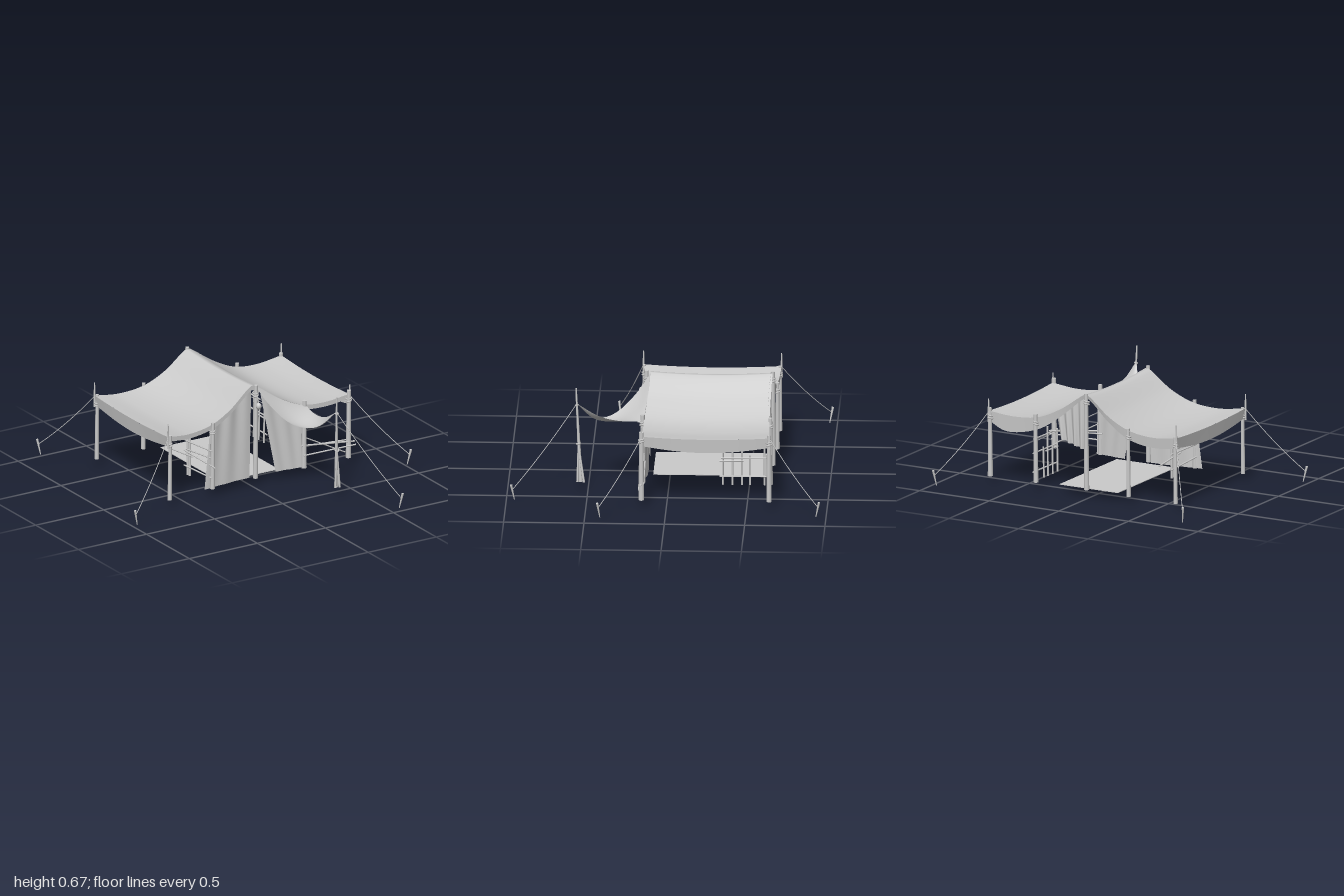
import * as THREE from 'three';
import { ParametricGeometry } from 'three/addons/geometries/ParametricGeometry.js';

const V = (x, y, z) => new THREE.Vector3(x, y, z);
const lerp = THREE.MathUtils.lerp;
const cloth = new THREE.MeshStandardMaterial({ color: 0xcccccc, side: THREE.DoubleSide });
const wood = new THREE.MeshStandardMaterial({ color: 0xcccccc });

// Piecewise smooth lookup through a short list of [x, value] points
function profile(points) {
  return (x) => {
    let i = 0;
    while (i < points.length - 2 && x > points[i + 1][0]) i++;
    const slope = (k) => {
      const a = points[Math.max(k - 1, 0)], b = points[Math.min(k + 1, points.length - 1)];
      return (b[1] - a[1]) / (b[0] - a[0]);
    };
    const [x0, y0] = points[i], [x1, y1] = points[i + 1];
    const w = x1 - x0, t = (x - x0) / w, t2 = t * t, t3 = t2 * t;
    return (2 * t3 - 3 * t2 + 1) * y0 + (t3 - 2 * t2 + t) * w * slope(i)
      + (3 * t2 - 2 * t3) * y1 + (t3 - t2) * w * slope(i + 1);
  };
}

// Roof shape: height across the tent, and its front and back edges in plan
const LEFT = 0.71, RIGHT = -0.65;
const height = profile([[-0.65, 0.475], [-0.48, 0.455], [-0.3, 0.475], [-0.15, 0.543],
  [-0.01, 0.652], [0.02, 0.662], [0.05, 0.647], [0.2, 0.545], [0.36, 0.472], [0.53, 0.455], [0.71, 0.472]]);
const frontZ = profile([[-0.65, 0.195], [-0.3, 0.155], [0.02, 0.125], [0.38, 0.15], [0.71, 0.15]]);
const backZ = profile([[-0.65, -0.665], [0.02, -0.635], [0.4, -0.63], [0.71, -0.645]]);

function roofPoint(x, v) {
  const sag = 4 * v * (1 - v);
  return V(x, height(x) - 0.015 * sag, lerp(frontZ(x), backZ(x), v));
}

export function createModel() {
  const group = new THREE.Group();

  const add = (name, geometry, material) => {
    const mesh = new THREE.Mesh(geometry, material);
    mesh.name = name;
    group.add(mesh);
    return mesh;
  };
  const sheet = (name, fn, nu, nv) =>
    add(name, new ParametricGeometry((u, v, t) => t.copy(fn(u, v)), nu, nv), cloth);
  const stick = (name, a, b, r0, r1 = r0) => {
    const dir = b.clone().sub(a);
    const mesh = add(name, new THREE.CylinderGeometry(r1, r0, dir.length(), 8), wood);
    mesh.position.copy(a).add(b).multiplyScalar(0.5);
    mesh.quaternion.setFromUnitVectors(V(0, 1, 0), dir.normalize());
    return mesh;
  };
  const knot = (x, y, z, r) => {
    const ring = add('lashing', new THREE.TorusGeometry(r, 0.005, 5, 10), wood);
    ring.position.set(x, y, z);
    ring.rotation.set(Math.PI / 2 + 0.25, 0.15, 0);
  };

  // Roof cloth
  sheet('roof', (u, v) => roofPoint(lerp(RIGHT, LEFT, u), v), 56, 14);

  // Hanging borders on the sides, front and back
  for (const [name, x, lean] of [['leftValance', LEFT, -0.008], ['rightValance', RIGHT, 0.008]]) {
    sheet(name, (u, v) => {
      const p = roofPoint(x, u);
      p.y -= v * (0.065 + 0.025 * Math.sin(Math.PI * u));
      p.x += lean * v;
      return p;
    }, 16, 3);
  }
  const backDrop = profile([[-0.65, 0.07], [-0.3, 0.06], [0.02, 0.025], [0.38, 0.08], [0.6, 0.105], [0.71, 0.065]]);
  sheet('backValance', (u, v) => {
    const p = roofPoint(lerp(RIGHT, LEFT, u), 1);
    p.y -= v * backDrop(p.x);
    p.z += 0.006 * v;
    return p;
  }, 56, 3);
  sheet('frontValance', (u, v) => {
    const p = roofPoint(lerp(RIGHT, LEFT, u), 0);
    p.y -= 0.03 * v;
    return p;
  }, 56, 2);

  // Awning pulled forward to a single pole, hanging slack between its edges
  const tip = V(0.352, 0.56, 0.57);
  const outer = new THREE.CatmullRomCurve3([V(0.035, 0.65, 0.128), V(0.1, 0.51, 0.23), V(0.18, 0.425, 0.35), V(0.27, 0.44, 0.465), tip]);
  const inner = new THREE.CatmullRomCurve3([V(0.39, 0.466, 0.15), V(0.37, 0.45, 0.27), V(0.357, 0.475, 0.42), tip]);
  sheet('awning', (u, v) => {
    const p = outer.getPoint(u).lerp(inner.getPoint(u), v);
    const edge = roofPoint(lerp(0.035, 0.39, v), 0);
    p.lerp(edge, Math.pow(1 - u, 4));
    p.y -= 0.1 * v * (1 - v) * Math.sin(Math.PI * u);
    return p;
  }, 20, 12);

  // Front walls either side of the doorway: top and bottom spans in x
  for (const [name, t0, t1, b0, b1] of [['frontWall', -0.31, 0.01, -0.36, -0.01], ['doorFlap', 0.07, 0.38, 0.18, 0.395]]) {
    sheet(name, (u, v) => {
      const top = lerp(t0, t1, u);
      const p = roofPoint(top, 0);
      p.x = lerp(top, lerp(b0, b1, u), v);
      p.y = lerp(p.y - 0.01, 0.055, v);
      p.z += -0.008 + 0.012 * v + 0.005 * Math.sin(u * 16) * (1 - v * 0.6);
      return p;
    }, 24, 8);
  }

  // Gathered curtain at the back gable
  sheet('backCurtain', (u, v) => {
    const p = roofPoint(lerp(0.02, 0.24, u), 1);
    p.y = lerp(p.y, 0.3 + 0.05 * u, v);
    p.z += 0.012 + 0.012 * Math.sin(u * 26) * (0.4 + 0.6 * v);
    p.x -= 0.03 * u * v;
    return p;
  }, 36, 6);

  // Ground cloth
  const mat = add('groundCloth', new THREE.BoxGeometry(0.42, 0.004, 0.71), wood);
  mat.position.set(0.01, 0.054, -0.255);

  // Upright poles: x, z, height, radius
  const poles = [
    [-0.635, 0.19, 0.48, 0.014], [-0.305, 0.165, 0.49, 0.016], [0.02, 0.15, 0.67, 0.017],
    [0.37, 0.16, 0.5, 0.018], [0.7, 0.155, 0.5, 0.018], [-0.64, -0.655, 0.48, 0.014],
    [-0.3, -0.652, 0.49, 0.015], [0.01, -0.637, 0.67, 0.017], [0.375, -0.635, 0.49, 0.016],
    [0.7, -0.64, 0.49, 0.017]];
  for (const [x, z, top, r] of poles) {
    stick('pole', V(x, 0.053, z), V(x + 0.004, top, z), r, r * 0.75);
    knot(x, top - 0.05, z, r);
    knot(x, top - 0.065, z, r);
  }

  // Thin peg tops standing above the corner poles
  for (const [x, z, top] of [[-0.65, 0.195, 0.565], [0.71, 0.155, 0.535], [-0.65, -0.664, 0.56], [0.71, -0.645, 0.55]])
    stick('poleTip', V(x, 0.4, z), V(x, top, z), 0.008, 0.004);

  // Awning pole with bracing sticks at its foot
  stick('awningPole', V(0.365, 0.053, 0.545), V(0.35, 0.66, 0.575), 0.013, 0.005);
  for (const [dx, dz] of [[0.02, -0.02], [-0.015, 0.015], [0.012, 0.02]])
    stick('awningBrace', V(0.365 + dx, 0.053, 0.545 + dz), V(0.362, 0.3, 0.56), 0.008, 0.005);
  knot(0.353, 0.55, 0.57, 0.009);
  knot(0.362, 0.3, 0.56, 0.012);

  // Guy ropes and ground stakes: anchor, then stake position
  const guys = [
    [V(-0.65, 0.47, 0.197), -0.985, 0.08, 0.355], [V(0.71, 0.465, 0.155), 0.985, 0.1, 0.41],
    [V(-0.65, 0.47, -0.665), -0.87, 0.1, -0.965], [V(0.71, 0.465, -0.647), 0.92, 0.1, -0.95],
    [tip, 0.58, 0.07, 0.96]];
  for (const [a, x, y, z] of guys) {
    const end = V(x, y, z);
    const mid = a.clone().lerp(end, 0.5).add(V(0, -0.035, 0));
    add('guyRope', new THREE.TubeGeometry(new THREE.QuadraticBezierCurve3(a, mid, end), 14, 0.0025, 5), wood);
    const lean = V(x - a.x, 0, z - a.z).setLength(0.012);
    stick('stake', V(x, y - 0.07, z).sub(lean), V(x, y + 0.03, z).add(lean), 0.003, 0.008);
  }

  // Stick rack along the inner left side, at the back
  const rackX = 0.39;
  for (const [z, top] of [[-0.34, 0.33], [-0.4, 0.28], [-0.46, 0.37], [-0.51, 0.25], [-0.6, 0.33]])
    stick('rackPost', V(rackX, 0.053, z), V(rackX + 0.005, top, z), 0.006);
  for (const [y, z0, z1] of [[0.11, -0.32, -0.63], [0.21, -0.32, -0.47], [0.23, -0.33, -0.63], [0.32, -0.4, -0.62]])
    stick('rackRail', V(rackX + 0.01, y, z0), V(rackX + 0.01, y + 0.003, z1), 0.005);

  // Stick rack along the inner right side, at the front
  for (const [z, top] of [[-0.1, 0.33], [-0.125, 0.31]])
    stick('rackPost', V(-0.305, 0.053, z), V(-0.305, top, z), 0.008);
  for (const [y0, y1, z0, z1] of [[0.13, 0.11, 0.18, -0.15], [0.26, 0.225, 0.17, -0.12], [0.21, 0.21, 0.22, -0.15], [0.31, 0.28, 0.19, -0.13], [0.2, 0.17, -0.04, -0.3]])
    stick('rackRail', V(-0.32, y0, z0), V(-0.315, y1, z1), 0.005);

  // Rails between the front left poles
  stick('frontRail', V(0.35, 0.205, 0.165), V(0.74, 0.155, 0.16), 0.006);
  stick('frontRail', V(0.35, 0.19, 0.145), V(0.72, 0.165, 0.14), 0.005);
  stick('frontRail', V(0.36, 0.14, 0.175), V(0.745, 0.135, 0.17), 0.005);
  stick('frontBrace', V(0.38, 0.25, 0.15), V(0.68, 0.09, 0.145), 0.004);

  // Line strung from front to back
  stick('dryingLine', V(0.38, 0.325, 0.15), V(0.38, 0.315, -0.63), 0.002);

  // Lantern hung on the front centre pole
  const lantern = add('lantern', new THREE.SphereGeometry(0.018, 12, 8), wood);
  lantern.position.set(0.025, 0.54, 0.18);
  lantern.scale.y = 1.2;
  stick('lanternCord', V(0.025, 0.555, 0.18), V(0.02, 0.64, 0.16), 0.003);

  return group;
}
